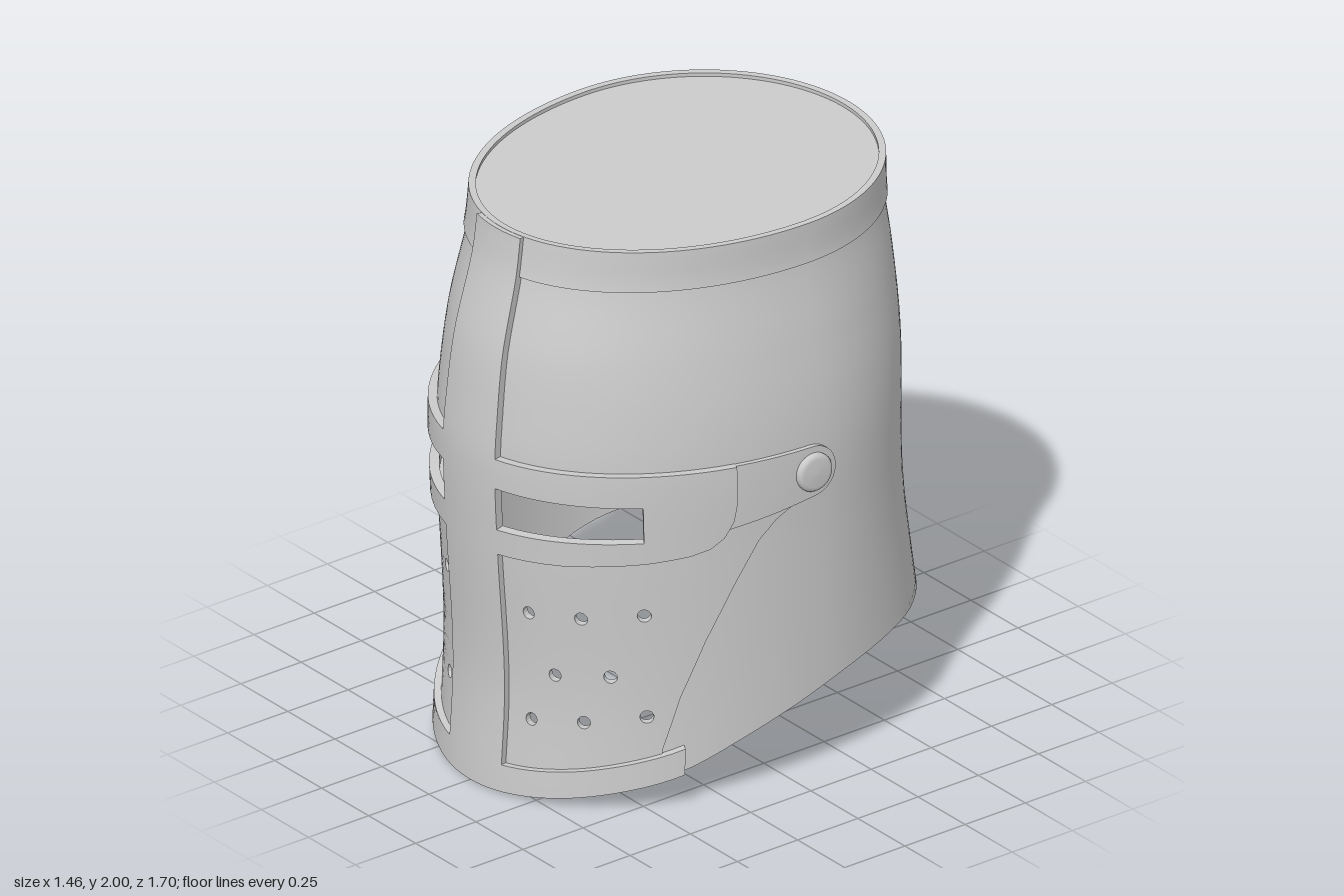
import * as THREE from 'three';

const ZC = -0.1; // z of the widest line of every cross-section
const TAU = Math.PI * 2;

// Smooth (Hermite) interpolation through [x, value] knots
function smooth(k) {
  const n = k.length - 1;
  const slope = i => {
    const a = k[Math.max(i - 1, 0)], b = k[Math.min(i + 1, n)];
    return (b[1] - a[1]) / (b[0] - a[0]);
  };
  return x => {
    x = Math.min(Math.max(x, k[0][0]), k[n][0]);
    let i = 0;
    while (i < n - 1 && x > k[i + 1][0]) i++;
    const h = k[i + 1][0] - k[i][0], u = (x - k[i][0]) / h, u2 = u * u, u3 = u2 * u;
    return (2 * u3 - 3 * u2 + 1) * k[i][1] + (u3 - 2 * u2 + u) * h * slope(i)
      + (3 * u2 - 2 * u3) * k[i + 1][1] + (u3 - u2) * h * slope(i + 1);
  };
}

// Helmet surface: half width, front z and back z by height; lower edge by z
const halfW = smooth([[0, 0.69], [0.9, 0.69], [1.2, 0.69], [1.4, 0.675], [1.6, 0.645], [1.86, 0.6], [2, 0.595]]);
const front = smooth([[0, 0.8], [0.4, 0.78], [0.9, 0.81], [1.2, 0.822], [1.4, 0.807], [1.6, 0.78], [1.86, 0.715], [2, 0.695]]);
const back = smooth([[0.38, -0.853], [0.6, -0.815], [0.8, -0.785], [1, -0.772], [1.4, -0.775], [1.7, -0.755], [1.86, -0.735], [2, -0.73]]);
const lowerEdge = smooth([[-0.85, 0.385], [-0.6, 0.395], [-0.4, 0.395], [-0.2, 0.365], [0, 0.3], [0.2, 0.22], [0.4, 0.125], [0.6, 0.06], [0.8, 0]]);

// Angle t runs from the front (0) over the left side to the back (PI)
const zAt = (t, y) => {
  const c = Math.cos(t);
  return ZC + c * (c > 0 ? front(y) - ZC : ZC - back(y));
};
const tAt = (z, y) => Math.acos((z - ZC) / (z > ZC ? front(y) - ZC : ZC - back(y)));
const edgeAt = t => lowerEdge(zAt(t, 0.1));
const base = (t, y) => new THREE.Vector3(halfW(y) * Math.sin(t), y, zAt(t, y));

function normalAt(t, y) {
  const e = 0.01;
  const dt = base(t + e, y).sub(base(t - e, y));
  const dy = base(t, y + e).sub(base(t, y - e));
  return dt.cross(dy).normalize();
}

// Split triangles at their longest edge until they are small enough to bend
function split(tri, max, out) {
  let best = 0, len = 0;
  for (let i = 0; i < 3; i++) {
    const l = tri[i].distanceTo(tri[(i + 1) % 3]);
    if (l > len + 1e-9) { len = l; best = i; }
  }
  if (len <= max) { out.push(tri); return; }
  const a = tri[best], b = tri[(best + 1) % 3], c = tri[(best + 2) % 3];
  const m = a.clone().add(b).multiplyScalar(0.5);
  split([a, m, c], max, out);
  split([m, b, c], max, out);
}

// Plate cut from a flat (t, y) outline and wrapped on the helmet from depth d0 to d1
function plate(outline, d0, d1, holes = []) {
  const vecs = pts => pts.map(p => new THREE.Vector2(p[0], p[1]));
  const shape = new THREE.Shape(vecs(outline));
  holes.forEach(h => shape.holes.push(new THREE.Path(vecs(h))));
  const flat = new THREE.ExtrudeGeometry(shape, { depth: d1 - d0, bevelEnabled: false, curveSegments: 1 });
  const src = flat.index ? flat.toNonIndexed() : flat;
  const p = src.attributes.position, tris = [];
  for (let i = 0; i < p.count; i += 3) {
    split([0, 1, 2].map(j => new THREE.Vector3().fromBufferAttribute(p, i + j)), 0.08, tris);
  }
  const pos = [], nor = [];
  for (const tri of tris) {
    const ns = tri.map(v => normalAt(v.x, v.y));
    const ps = tri.map((v, i) => base(v.x, v.y).addScaledVector(ns[i], v.z + d0));
    const face = ps[1].clone().sub(ps[0]).cross(ps[2].clone().sub(ps[0])).normalize();
    const lid = Math.abs(tri[0].z - tri[1].z) < 1e-6 && Math.abs(tri[0].z - tri[2].z) < 1e-6;
    const sign = tri[0].z > (d1 - d0) / 2 ? 1 : -1;
    ps.forEach((q, i) => {
      pos.push(q.x, q.y, q.z);
      const n = lid ? ns[i].multiplyScalar(sign) : face;
      nor.push(n.x, n.y, n.z);
    });
  }
  const g = new THREE.BufferGeometry();
  g.setAttribute('position', new THREE.Float32BufferAttribute(pos, 3));
  g.setAttribute('normal', new THREE.Float32BufferAttribute(nor, 3));
  return g;
}

const flip = (pts, c = 0) => pts.map(([t, y]) => [2 * c - t, y]).reverse();
const onSide = pts => pts.map(([z, y]) => [tAt(z, y), y]);
const bottomRun = (t0, t1, lift = 0, n = 24) => Array.from({ length: n + 1 }, (_, i) => {
  const t = t0 + (t1 - t0) * i / n;
  return [t, edgeAt(t) + lift];
});
// Close a half outline that ends on the mirror line t = c
const mirrored = (half, c = 0) => [...half, ...flip(half.slice(0, -1), c)];

export function createModel() {
  const group = new THREE.Group();
  const mat = new THREE.MeshStandardMaterial({ color: 0xcccccc, roughness: 0.6 });
  const add = (name, geo) => {
    const m = new THREE.Mesh(geo, mat);
    m.name = name;
    group.add(m);
    return m;
  };

  // Skull shell: full ring above the eyes, open at the front below
  const shellFront = onSide([[0.26, 1.18], [0.26, 1], [0.28, 0.8], [0.35, 0.6], [0.43, 0.4], [0.48, 0.22]]);
  const shellHalf = [[0, 1.97], [0, 1.18], ...shellFront, ...bottomRun(tAt(0.49, 0.1), Math.PI, 0, 40)];
  add('skullShell', plate(mirrored(shellHalf, Math.PI), -0.03, 0));

  // Face plate with breathing holes
  const seam = onSide([[0.4, 0.95], [0.26, 1.08], [0, 1.06], [0.03, 1.035], [0.09, 1], [0.15, 0.94], [0.23, 0.8],
    [0.325, 0.6], [0.4, 0.4], [0.45, 0.22]]);
  const faceHalf = [...seam, ...bottomRun(tAt(0.465, 0.1), 0)];
  const breaths = [];
  for (const [x, y] of [[0.215, 0.68], [0.37, 0.69], [0.51, 0.71], [0.29, 0.465], [0.435, 0.48],
    [0.215, 0.285], [0.37, 0.305], [0.51, 0.335]]) {
    for (const s of [-1, 1]) {
      const t = s * Math.asin(x / 0.69);
      breaths.push(Array.from({ length: 14 }, (_, i) => {
        const a = i / 14 * TAU;
        return [t + 0.029 * Math.cos(a), y + 0.023 * Math.sin(a)];
      }));
    }
  }
  add('facePlate', plate(mirrored(faceHalf), -0.02, 0.006, breaths));

  // Raised cross: upper bar, eye band with slots, lower bar and chin flange
  const crossHalf = [[0.183, 1.999], [0.19, 1.235],
    ...onSide([[0.235, 1.235], [0.235, 1.1], [0.245, 1.04], [0.275, 0.985], [0.32, 0.95], [0.38, 0.932], [0.5, 0.915]]),
    [0.5, 0.895], [0.19, 0.885],
    ...bottomRun(0.19, 0.985, 0.095, 16), ...bottomRun(0.985, 0)];
  const slot = [[0.19, 0.977], [0.84, 0.993], [0.84, 1.122], [0.19, 1.13]];
  add('cross', plate(mirrored(crossHalf), -0.004, 0.03, [slot, flip(slot)]));

  // Top rim and recessed crown plate
  add('topRim', plate([[0, 1.857], [TAU, 1.857], [TAU, 2], [0, 2]], -0.012, 0.012));
  const crown = new THREE.Shape(Array.from({ length: 96 }, (_, i) => {
    const p = base(i / 96 * TAU, 1.99);
    return new THREE.Vector2(p.x * 0.995, -p.z * 0.995);
  }));
  const crownGeo = new THREE.ExtrudeGeometry(crown, { depth: 0.025, bevelEnabled: false });
  crownGeo.rotateX(-Math.PI / 2).translate(0, 1.962, 0);
  add('crownPlate', crownGeo);

  // Hinge straps and domed pivots on both sides
  const PZ = -0.045, PY = 1.145;
  const strapEnd = Array.from({ length: 17 }, (_, i) => {
    const a = Math.PI / 2 + i / 16 * (Math.PI - 0.15);
    return [PZ + 0.09 * Math.cos(a), PY + 0.09 * Math.sin(a)];
  });
  const strap = onSide([[0.29, 1.234], ...strapEnd, [0.29, 1]]);
  const rivet = new THREE.LatheGeometry([[0.068, -0.02], [0.068, 0.026], [0.063, 0.034], [0.05, 0.038], [0, 0.04]]
    .map(p => new THREE.Vector2(...p)), 40);
  for (const s of [1, -1]) {
    const side = s > 0 ? 'left' : 'right';
    add(side + 'HingeStrap', plate(s > 0 ? strap : flip(strap), -0.004, 0.018));
    const t = s * tAt(PZ, PY);
    const pivot = add(side + 'Pivot', rivet);
    pivot.position.copy(base(t, PY));
    pivot.quaternion.setFromUnitVectors(new THREE.Vector3(0, 1, 0), normalAt(t, PY));
  }
  return group;
}
